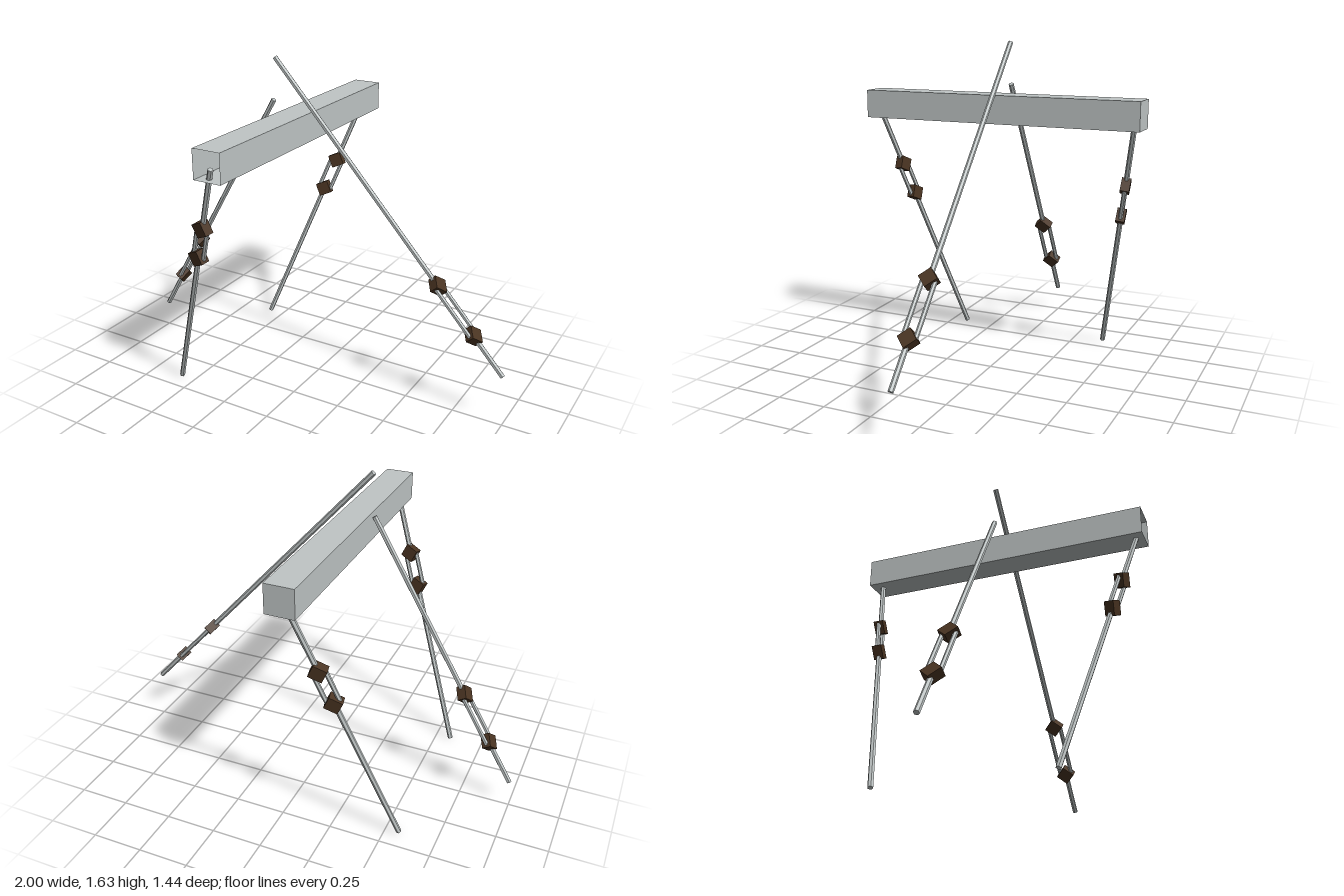
import * as THREE from 'three';

export function createModel() {
  const model = new THREE.Group();
  model.name = 'bracedBeam';

  const grey = new THREE.MeshStandardMaterial({ color: 0xc0c6c6, flatShading: true, side: THREE.DoubleSide });
  grey.name = 'light grey metal';
  const brown = new THREE.MeshStandardMaterial({ color: 0x4a3422, flatShading: true });
  brown.name = 'dark brown';

  // Hollow beam, open at its front end (the +z face is left out)
  const beamGeo = new THREE.BoxGeometry(0.14, 0.14, 1.44);
  const open = beamGeo.groups[4];
  const kept = Array.from(beamGeo.index.array).filter((_, i) => i < open.start || i >= open.start + open.count);
  beamGeo.setIndex(kept);
  beamGeo.clearGroups();
  const beam = new THREE.Mesh(beamGeo, grey);
  beam.name = 'beam';
  beam.position.set(-0.12, 1.31, 0);
  model.add(beam);

  // Six-sided rod along local y, between two distances below the top
  function rod(name, from, to, radius, x = 0) {
    const mesh = new THREE.Mesh(new THREE.CylinderGeometry(radius, radius, to - from, 6), grey);
    mesh.name = name;
    mesh.position.set(x, -(from + to) / 2, 0);
    return mesh;
  }

  // Rod with a tensioner: two diamond blocks joined by a pair of struts
  function tensionRod(name, top, bottom, t1, t2, side) {
    const a = new THREE.Vector3(...top);
    const b = new THREE.Vector3(...bottom);
    const length = a.distanceTo(b);
    const up = a.clone().sub(b).normalize();
    const lateral = new THREE.Vector3(...side);
    lateral.addScaledVector(up, -lateral.dot(up)).normalize();
    const normal = new THREE.Vector3().crossVectors(lateral, up);

    const group = new THREE.Group();
    group.name = name;
    group.quaternion.setFromRotationMatrix(new THREE.Matrix4().makeBasis(lateral, up, normal));
    group.position.copy(a);

    const d1 = length * t1, d2 = length * t2;
    group.add(rod('upperRod', 0, d1, 0.013));
    group.add(rod('lowerRod', d2, length, 0.013));
    for (const s of [-1, 1]) group.add(rod('strut', d1, d2, 0.011, s * 0.031));
    for (const d of [d1, d2]) {
      const block = new THREE.Mesh(new THREE.BoxGeometry(0.067, 0.067, 0.045), brown);
      block.name = 'tensionerBlock';
      block.rotation.z = Math.PI / 4;
      block.position.y = -d;
      group.add(block);
    }
    model.add(group);
  }

  // Legs under the beam ends
  tensionRod('frontLeg', [-0.12, 1.29, 0.69], [-0.58, 0.01, 0.41], 0.246, 0.375, [1, 0, 0.2]);
  tensionRod('backLeg', [-0.12, 1.29, -0.68], [-0.57, 0.02, -0.415], 0.268, 0.398, [1, 0, -0.2]);

  // Braces in the middle plane
  tensionRod('shortBrace', [-0.25, 1.42, 0], [-0.99, 0.145, 0], 0.65, 0.838, [0, 0, 1]);
  tensionRod('longBrace', [-0.24, 1.625, 0], [0.985, 0.265, 0], 0.718, 0.873, [0, 0, 1]);

  return model;
}
